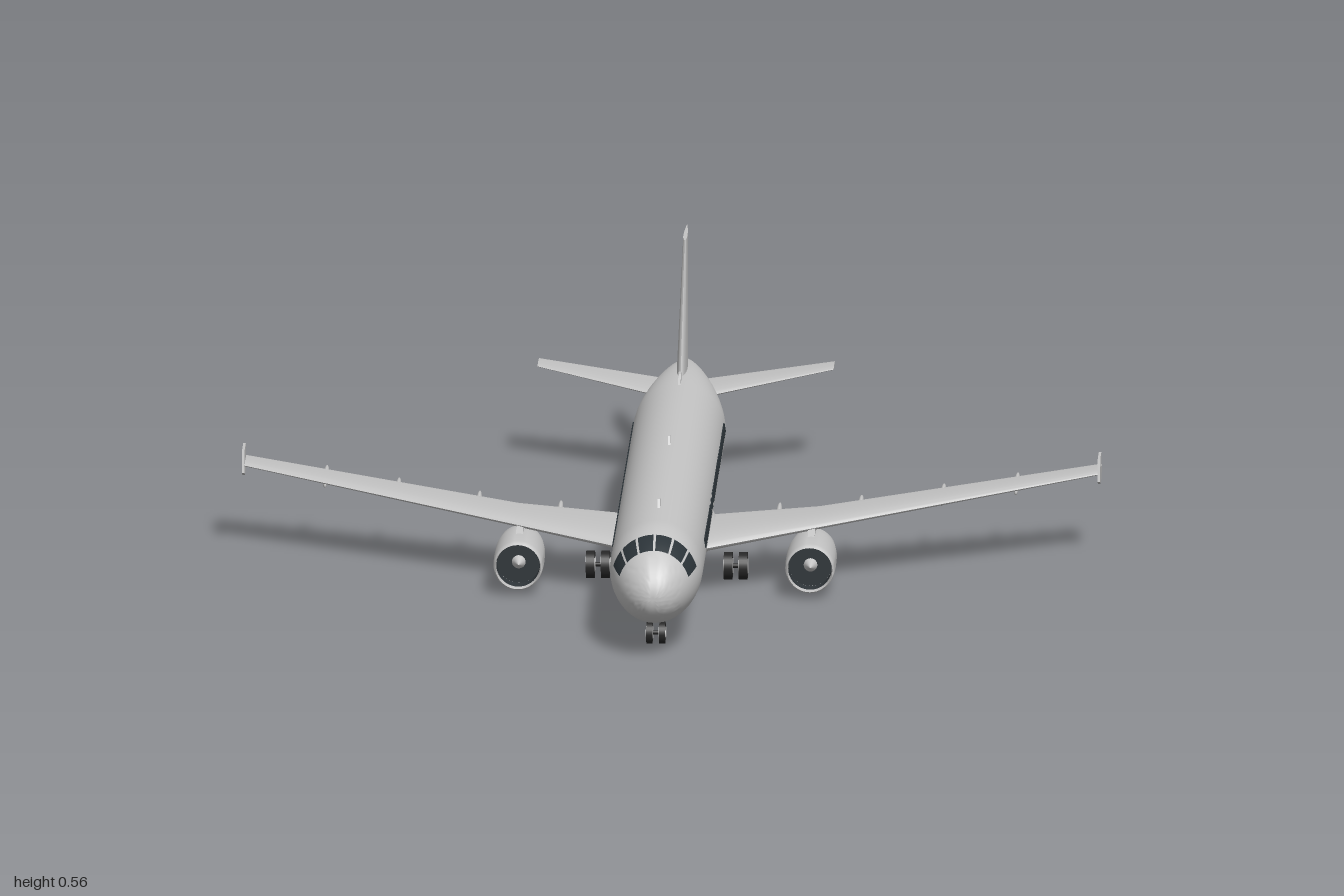
import * as THREE from 'three';
import { toCreasedNormals } from 'three/addons/utils/BufferGeometryUtils.js';

const mat = (name, color) => Object.assign(new THREE.MeshStandardMaterial({ color }), { name });
const V = (x, y, z) => new THREE.Vector3(x, y, z);

export function createModel() {
  const skin = mat('light grey skin', 0xc4c4c4);
  const glass = mat('dark glass', 0x2b3338);
  const rubber = mat('black rubber', 0x262626);
  const model = new THREE.Group();
  model.name = 'airliner';

  const add = (name, geo, material, x = 0, y = 0, z = 0) => {
    const mesh = new THREE.Mesh(geo, material);
    mesh.name = name;
    mesh.position.set(x, y, z);
    model.add(mesh);
    return mesh;
  };

  // Turns a closed surface the right way out, using its signed volume
  const outward = (geo) => {
    const p = geo.attributes.position, idx = geo.index.array;
    const a = V(), b = V(), c = V();
    let vol = 0;
    for (let i = 0; i < idx.length; i += 3) {
      a.fromBufferAttribute(p, idx[i]);
      b.fromBufferAttribute(p, idx[i + 1]);
      c.fromBufferAttribute(p, idx[i + 2]);
      vol += a.dot(b.cross(c));
    }
    if (vol < 0) for (let i = 0; i < idx.length; i += 3) [idx[i], idx[i + 1]] = [idx[i + 1], idx[i]];
    return geo;
  };

  // Closed skin through equal-sized rings, with flat end caps
  const loft = (rings, crease = 0.7) => {
    const n = rings[0].length, pos = [], idx = [];
    rings.forEach((r) => r.forEach((p) => pos.push(p.x, p.y, p.z)));
    for (let i = 0; i < rings.length - 1; i++) {
      for (let j = 0; j < n; j++) {
        const a = i * n + j, b = i * n + (j + 1) % n;
        idx.push(a, b, a + n, b, b + n, a + n);
      }
    }
    const last = (rings.length - 1) * n;
    for (let j = 1; j < n - 1; j++) {
      idx.push(0, j + 1, j, last, last + j, last + j + 1);
    }
    const geo = new THREE.BufferGeometry();
    geo.setAttribute('position', new THREE.Float32BufferAttribute(pos, 3));
    geo.setIndex(idx);
    return toCreasedNormals(outward(geo), crease);
  };

  // Flat plate cut from a side outline of [z, y] points, centred on x
  const plate = (name, pts, x, thick) => {
    const shape = new THREE.Shape(pts.map(([z, y]) => new THREE.Vector2(z, y)));
    const geo = new THREE.ExtrudeGeometry(shape, { depth: thick, bevelEnabled: false });
    geo.rotateY(-Math.PI / 2).translate(thick / 2, 0, 0);
    return add(name, geo, skin, x);
  };

  // Fuselage section at z: rounded nose, straight barrel, upswept tail
  const section = (z) => {
    if (z > 0.74) {
      const t = Math.min((z - 0.74) / 0.22, 1), k = Math.sqrt(Math.max(1 - t ** 2.2, 0));
      return { cy: 0.177 - 0.022 * t * t, rx: 0.108 * k, ry: 0.113 * k };
    }
    const t = Math.max((-0.52 - z) / 0.405, 0);
    const top = 0.29 - 0.045 * t ** 2.5, bottom = 0.064 + 0.141 * t ** 1.5;
    return { cy: (top + bottom) / 2, rx: 0.108 - 0.096 * t ** 1.55, ry: (top - bottom) / 2 };
  };
  // Point on the fuselage; angle runs from the top towards +x
  const onBody = (z, a, lift = 0) => {
    const s = section(z);
    return V((s.rx + lift) * Math.sin(a), s.cy + (s.ry + lift) * Math.cos(a), z);
  };
  const stations = [];
  for (let i = 0; i <= 20; i++) stations.push(0.74 + 0.2199 * Math.sin((i / 20) * Math.PI / 2));
  stations.reverse();
  for (let i = 0; i <= 18; i++) stations.push(-0.52 - 0.405 * (i / 18));
  const rings = stations.map((z) =>
    Array.from({ length: 48 }, (_, j) => onBody(z, (j / 48) * Math.PI * 2)));
  add('fuselage', loft(rings, 0.9), skin);

  const outlet = add('tailOutlet', new THREE.SphereGeometry(1, 16, 10), glass, 0, 0.225, -0.923);
  outlet.scale.set(0.0105, 0.017, 0.007);
  const belly = add('bellyFairing', new THREE.SphereGeometry(1, 40, 24), skin, 0, 0.112, 0.15);
  belly.scale.set(0.118, 0.051, 0.3);

  // Windscreen: six panes that follow the nose
  for (let k = 0; k < 6; k++) {
    const a0 = (-75 + k * 25 + 1.8) * Math.PI / 180, span = 21.4 * Math.PI / 180;
    const pane = new THREE.PlaneGeometry(1, 1, 6, 5), p = pane.attributes.position;
    for (let i = 0; i < p.count; i++) {
      const q = onBody(0.862 - p.getY(i) * 0.055, a0 + (p.getX(i) + 0.5) * span, 0.002);
      p.setXYZ(i, q.x, q.y, q.z);
    }
    pane.computeVertexNormals();
    add('windscreenPane', pane, glass);
  }

  // Cabin windows, with small ones by the overwing exits
  const windowGeo = new THREE.BoxGeometry(0.005, 0.02, 0.019);
  for (const s of [1, -1]) {
    for (let i = 0; i < 36; i++) {
      const w = add('cabinWindow', windowGeo, glass, s * 0.106, 0.197, 0.59 - i * 0.0303);
      w.rotation.z = s * 0.17;
      if (i === 11 || i === 13) w.scale.set(1, 0.6, 0.5);
    }
  }

  // Aerofoil ring from leading to trailing edge; axis is the thickness direction
  const foil = (x, y, zLead, zTrail, thick, axis = 'y') =>
    Array.from({ length: 28 }, (_, j) => {
      const a = (j / 28) * Math.PI * 2;
      const p = V(x, y, zLead + (zTrail - zLead) * (1 - Math.cos(a)) / 2);
      p[axis] += 0.5 * thick * Math.sin(a) * (0.72 + 0.4 * Math.cos(a));
      return p;
    });

  const finRings = [
    foil(0, 0.24, -0.55, -0.89, 0.03, 'x'),
    foil(0, 0.29, -0.59, -0.9, 0.03, 'x'),
    foil(0, 0.56, -0.81, -0.955, 0.012, 'x'),
  ];
  add('tailFin', loft(finRings), skin);

  // Blade aerials above and below the body
  for (const [z, len] of [[0.62, 0.025], [0.04, 0.025], [-0.53, 0.06]]) {
    plate('aerial', [[z + len / 2, 0.285], [z - len / 6, 0.308], [z - len / 2, 0.308], [z - len / 2, 0.285]], 0, 0.006);
  }
  plate('lowerAerial', [[0.44, 0.068], [0.425, 0.042], [0.412, 0.042], [0.415, 0.068]], 0, 0.006);

  const wheel = (name, x, y, z, r, w) => {
    const tyre = add(name, new THREE.CylinderGeometry(r, r, w, 28), rubber, x, y, z);
    const hub = add(name + 'Hub', new THREE.CylinderGeometry(r * 0.55, r * 0.55, w + 0.003, 20), skin, x, y, z);
    tyre.rotation.z = hub.rotation.z = Math.PI / 2;
  };
  const axle = (x, y, z, len) => {
    add('axle', new THREE.CylinderGeometry(0.005, 0.005, len, 10), rubber, x, y, z).rotation.z = Math.PI / 2;
  };
  axle(0, 0.028, 0.775, 0.03);

  const lathe = (pts) => outward(new THREE.LatheGeometry(
    pts.map(([r, z]) => new THREE.Vector2(r, z)), 40).rotateX(Math.PI / 2));
  const nacelle = toCreasedNormals(lathe([[0, 0.13], [0.046, 0.13], [0.053, 0.16], [0.058, 0.21], [0.059, 0.28],
    [0.058, 0.325], [0.0555, 0.345], [0.053, 0.347], [0.051, 0.335], [0.051, 0.295], [0, 0.295]]), 0.9);
  const core = toCreasedNormals(lathe([[0, 0.088], [0.026, 0.088], [0.034, 0.135], [0, 0.135]]), 0.7);
  const liner = new THREE.CylinderGeometry(0.0505, 0.0505, 0.035, 40, 1, true).rotateX(Math.PI / 2);
  const lining = mat('dark inlet lining', 0x30363a);
  lining.side = THREE.DoubleSide;

  const wingY = (x) => 0.11 + 0.0905 * x;
  for (const s of [1, -1]) {
    // Main wing with a kinked trailing edge, and its tip fence
    const wing = [
      [0, 0.389, 0.03, 0.045], [0.108, 0.34, 0.03, 0.042], [0.35, 0.229, 0.03, 0.028], [0.997, -0.066, -0.165, 0.012],
    ].map(([x, lead, trail, t]) => foil(s * x, wingY(x), lead, trail, t));
    add('wing', loft(wing), skin);
    plate('wingTipFence', [[-0.055, 0.185], [-0.068, 0.238], [-0.13, 0.238], [-0.142, 0.2],
      [-0.165, 0.2], [-0.135, 0.174], [-0.08, 0.174]], s * 0.997, 0.006);

    // Flap track fairings
    for (const [x, end] of [[0.255, -0.042], [0.445, -0.056], [0.635, -0.104], [0.805, -0.153]]) {
      const f = add('flapFairing', new THREE.SphereGeometry(1, 14, 12), skin, s * x, wingY(x) - 0.01, end + 0.075);
      f.scale.set(0.007, 0.011, 0.076);
      f.rotation.x = 0.08;
    }

    // Tailplane
    const tailplane = [[0, -0.67, -0.855, 0.02], [0.345, -0.862, -0.94, 0.007]]
      .map(([x, lead, trail, t]) => foil(s * x, 0.208 + 0.088 * x, lead, trail, t));
    add('tailplane', loft(tailplane), skin);

    // Engine and pylon
    const ex = s * 0.34, ey = 0.07;
    add('engineNacelle', nacelle, skin, ex, ey);
    add('engineCore', core, skin, ex, ey);
    add('inletLining', liner, lining, ex, ey, 0.315);
    add('engineFan', new THREE.CircleGeometry(0.0505, 40), lining, ex, ey, 0.297);
    const spinner = new THREE.ConeGeometry(0.016, 0.03, 24).rotateX(Math.PI / 2);
    add('fanSpinner', spinner, skin, ex, ey, 0.312);
    const plug = new THREE.ConeGeometry(0.02, 0.04, 24).rotateX(-Math.PI / 2);
    add('exhaustPlug', plug, glass, ex, ey, 0.072);
    plate('pylon', [[0.28, 0.122], [0.22, 0.143], [0.04, 0.138], [0.03, 0.128], [0.09, 0.1], [0.16, 0.1]], ex, 0.016);

    // Landing gear wheels
    wheel('noseWheel', s * 0.015, 0.028, 0.775, 0.026, 0.014);
    for (const x of [0.143, 0.178]) wheel('mainWheel', s * x, 0.033, 0.17, 0.032, 0.02);
    axle(s * 0.16, 0.033, 0.17, 0.035);
  }
  return model;
}
